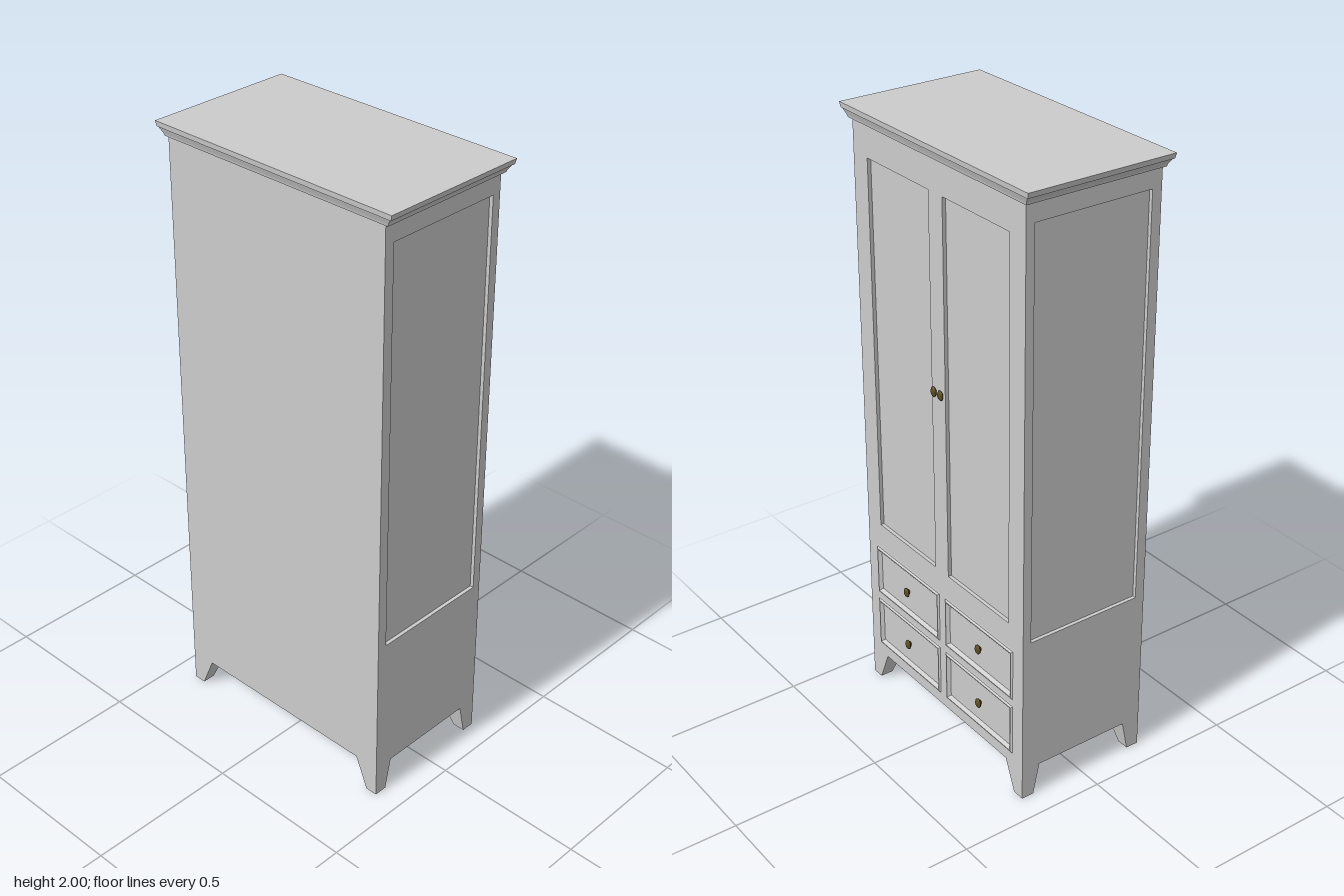
import * as THREE from 'three';

const grey = new THREE.MeshStandardMaterial({ color: 0xcccccc, flatShading: true });
const brass = new THREE.MeshStandardMaterial({ color: 0x5c4d1e });

// Body extents: the doors and drawers face +x
const BACK = -0.233, FRONT = 0.229, SIDE = 0.415, FLOOR = 0.105, TOP = 1.965, INSET = 0.012;

function add(parent, name, geometry, material = grey) {
  const mesh = new THREE.Mesh(geometry, material);
  mesh.name = name;
  parent.add(mesh);
  return mesh;
}

function box(x0, x1, y0, y1, z0, z1) {
  return new THREE.BoxGeometry(x1 - x0, y1 - y0, z1 - z0)
    .translate((x0 + x1) / 2, (y0 + y1) / 2, (z0 + z1) / 2);
}

// Box whose lower and upper rectangles [x0, x1, z0, z1] differ
function taperedBox(y0, y1, low, high) {
  const g = new THREE.BoxGeometry(1, 1, 1);
  const p = g.attributes.position;
  for (let i = 0; i < p.count; i++) {
    const r = p.getY(i) > 0 ? high : low;
    p.setXYZ(i, p.getX(i) < 0 ? r[0] : r[1], p.getY(i) > 0 ? y1 : y0, p.getZ(i) < 0 ? r[2] : r[3]);
  }
  g.computeVertexNormals();
  return g;
}

function rect(target, u0, u1, v0, v1) {
  target.moveTo(u0, v0);
  target.lineTo(u1, v0);
  target.lineTo(u1, v1);
  target.lineTo(u0, v1);
  target.closePath();
  return target;
}

// Flat frame with rectangular openings, lying in the xy plane
function frame(outer, holes, depth) {
  const shape = rect(new THREE.Shape(), ...outer);
  holes.forEach(h => shape.holes.push(rect(new THREE.Path(), ...h)));
  return new THREE.ExtrudeGeometry(shape, { depth, bevelEnabled: false });
}

// Picture-frame moulding: loops of [inset, height] around a rectangle
function moulding(u0, u1, v0, v1, profile) {
  const pos = [], idx = [];
  for (const [d, h] of profile)
    pos.push(u0 + d, v0 + d, h, u1 - d, v0 + d, h, u1 - d, v1 - d, h, u0 + d, v1 - d, h);
  for (let r = 0; r < profile.length - 1; r++)
    for (let i = 0; i < 4; i++) {
      const a = r * 4 + i, b = r * 4 + (i + 1) % 4;
      idx.push(a, b, b + 4, a, b + 4, a + 4);
    }
  const g = new THREE.BufferGeometry();
  g.setAttribute('position', new THREE.Float32BufferAttribute(pos, 3));
  g.setIndex(idx);
  const flat = g.toNonIndexed();
  flat.computeVertexNormals();
  return flat;
}

function knob(parent, name, y, z) {
  const profile = [[0, 0], [0.007, 0], [0.006, 0.004], [0.012, 0.007], [0.013, 0.01], [0.009, 0.014], [0, 0.015]]
    .map(([r, h]) => new THREE.Vector2(r, h));
  const g = new THREE.LatheGeometry(profile, 16).rotateZ(-Math.PI / 2).scale(1, 1.3, 1);
  add(parent, name, g, brass).position.set(FRONT - 0.003, y, z);
}

export function createModel() {
  const model = new THREE.Group();
  model.name = 'wardrobe';

  // Carcass, whose faces form the recessed panels
  add(model, 'carcass', box(BACK, FRONT - INSET, FLOOR, TOP, -SIDE + INSET, SIDE - INSET));

  // Side frames around the tall panels
  for (const s of [1, -1]) {
    const side = add(model, s > 0 ? 'sideFrameLeft' : 'sideFrameRight',
      frame([BACK, FRONT, FLOOR, TOP], [[-0.2, 0.2, 0.572, 1.897]], INSET));
    side.position.z = s > 0 ? SIDE - INSET : -SIDE;
  }

  // Door and drawer openings, as [u0, u1, v0, v1] across the front
  const doors = [[-0.343, -0.034], [0.034, 0.343]].map(u => [...u, 0.615, 1.855]);
  const drawers = [];
  for (const [v0, v1] of [[0.14, 0.328], [0.343, 0.53]])
    for (const [u0, u1] of [[-0.372, -0.01], [0.01, 0.372]]) drawers.push([u0, u1, v0, v1]);

  const front = new THREE.Group();
  front.name = 'front';
  front.rotation.y = Math.PI / 2;
  front.position.x = FRONT - INSET;
  model.add(front);
  add(front, 'frontFrame', frame([-SIDE + INSET, SIDE - INSET, FLOOR, TOP], [...doors, ...drawers], INSET));

  // Drawers: raised moulding falling to a recessed face
  const lip = [[0, INSET], [0.006, INSET + 0.001], [0.011, INSET + 0.006], [0.014, INSET + 0.006],
    [0.023, INSET - 0.006], [0.025, INSET - 0.003]];
  for (const [u0, u1, v0, v1] of drawers) {
    add(front, 'drawerMoulding', moulding(u0, u1, v0, v1, lip));
    const face = new THREE.PlaneGeometry(u1 - u0 - 0.05, v1 - v0 - 0.05);
    add(front, 'drawerFace', face).position.set((u0 + u1) / 2, (v0 + v1) / 2, INSET - 0.003);
    knob(model, 'drawerKnob', (v0 + v1) / 2, -Math.sign(u0 + u1) * 0.194);
  }
  for (const s of [1, -1]) knob(model, 'doorKnob', 1.235, s * 0.017);

  // Tapered corner feet
  for (const [x, sx] of [[BACK, 1], [FRONT, -1]])
    for (const s of [1, -1]) {
      const span = (w, d) => {
        const xs = [x, x + sx * w].sort((a, b) => a - b);
        const zs = [s * SIDE, s * (SIDE - d)].sort((a, b) => a - b);
        return [...xs, ...zs];
      };
      add(model, 'foot', taperedBox(0, FLOOR, span(0.043, 0.041), span(0.065, 0.085)));
    }

  // Stepped cornice: [lower y, upper y, lower x, lower z, upper x, upper z]
  const steps = [
    [1.957, 1.965, 0.237, 0.426, 0.239, 0.429],
    [1.965, 1.983, 0.239, 0.429, 0.246, 0.442],
    [1.983, 2, 0.248, 0.446, 0.25, 0.45],
  ];
  for (const [y0, y1, xa, za, xb, zb] of steps)
    add(model, 'cornice', taperedBox(y0, y1, [-xa, xa, -za, za], [-xb, xb, -zb, zb]));

  return model;
}
